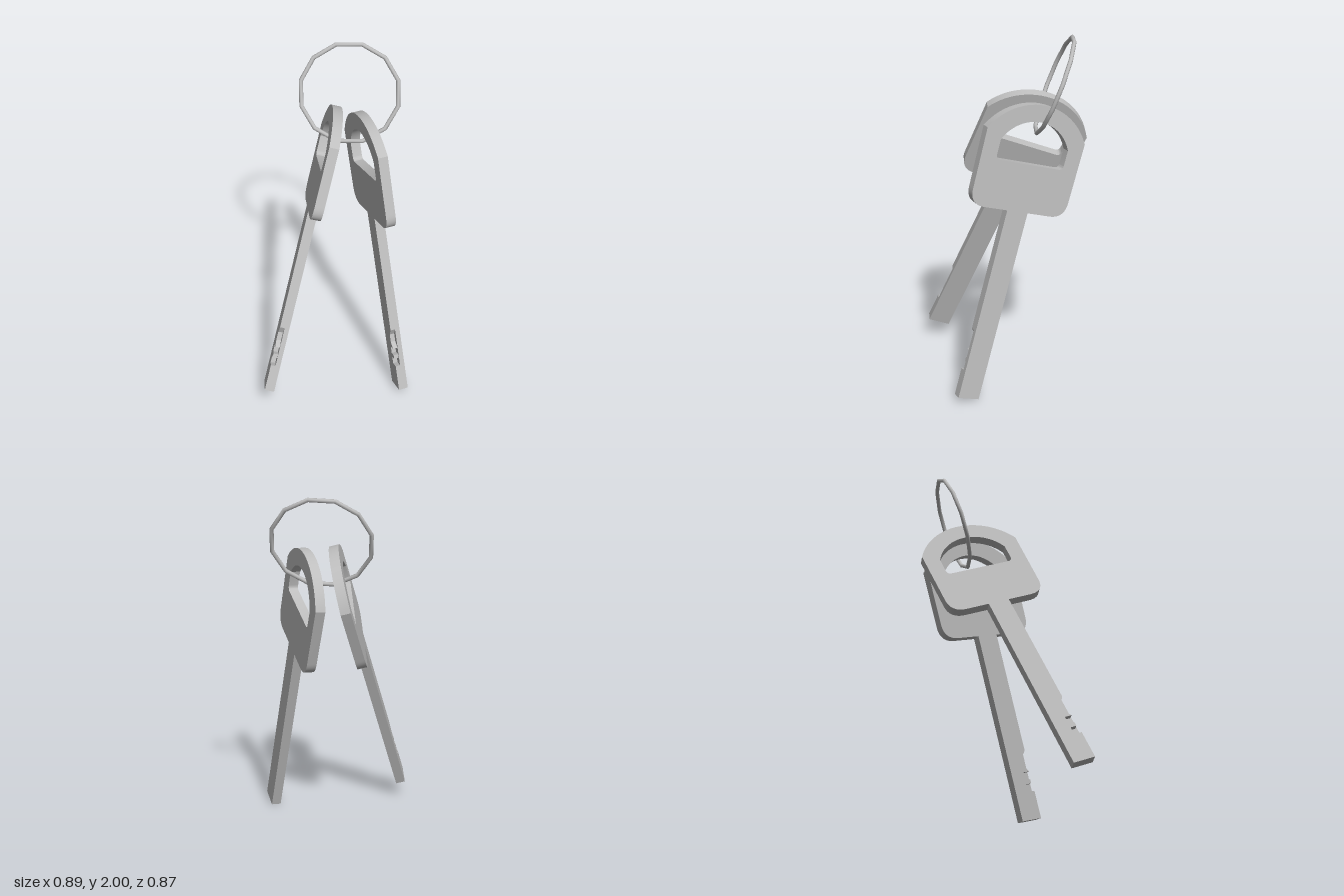
import * as THREE from 'three';
import { toCreasedNormals } from 'three/addons/utils/BufferGeometryUtils.js';

const T = 0.055;      // key thickness
const HALF = 0.063;   // half width of the blade
const LENGTH = 1.11;  // blade length

const steel = new THREE.MeshStandardMaterial({ color: 0xbebebe });
steel.name = 'steel';

function extrude(shape, depth, z, name) {
  const geo = new THREE.ExtrudeGeometry(shape, { depth, bevelEnabled: false, curveSegments: 14 });
  geo.translate(0, 0, z);
  const mesh = new THREE.Mesh(toCreasedNormals(geo, 0.5), steel);
  mesh.name = name;
  return mesh;
}

const polygon = (pts) => new THREE.Shape(pts.map(([x, y]) => new THREE.Vector2(x, y)));

// Arched bow with rounded lower corners and a D-shaped hole
function bowShape() {
  const s = new THREE.Shape();
  s.moveTo(-0.2, 0);
  s.lineTo(0.2, 0);
  s.quadraticCurveTo(0.295, 0, 0.295, 0.095);
  s.lineTo(0.3, 0.43);
  const a = Math.atan2(0.18, 0.3);
  s.absarc(0, 0.25, 0.35, a, Math.PI - a, false);
  s.lineTo(-0.295, 0.095);
  s.quadraticCurveTo(-0.295, 0, -0.2, 0);

  const h = new THREE.Path();
  h.moveTo(-0.18, 0.268);
  h.lineTo(0.18, 0.268);
  h.quadraticCurveTo(0.205, 0.268, 0.207, 0.295);
  h.lineTo(0.207, 0.38);
  const b = Math.atan2(0.106, 0.207);
  h.absarc(0, 0.274, 0.2326, b, Math.PI - b, false);
  h.lineTo(-0.207, 0.295);
  h.quadraticCurveTo(-0.205, 0.268, -0.18, 0.268);
  s.holes.push(h);
  return s;
}

// Key: local y runs up the blade, -x is the toothed edge, z is the thickness
function makeKey(name, tip, along, across) {
  const key = new THREE.Group();
  key.name = name;
  key.add(extrude(bowShape(), T, -T / 2, 'bow'));

  const plain = [[-HALF, -LENGTH], [HALF, -LENGTH], [HALF, 0.01], [-HALF, 0.01]];
  key.add(extrude(polygon(plain), T / 2, 0, 'bladePlainHalf'));

  // Teeth: [distance from tip, depth of cut]
  const cuts = [[0.40, 0], [0.36, 0.03], [0.31, 0.03], [0.275, 0.005], [0.275, 0.045],
    [0.23, 0.045], [0.23, 0.01], [0.205, 0.01], [0.205, 0.045], [0.16, 0.045], [0.16, 0]];
  const toothed = [...plain, ...cuts.map(([t, d]) => [-HALF + d, t - LENGTH])];
  key.add(extrude(polygon(toothed), T / 2, -T / 2, 'bladeToothedHalf'));

  const y = new THREE.Vector3(...along).normalize();
  const z = y.clone().cross(new THREE.Vector3(...across)).normalize();
  const x = y.clone().cross(z);
  key.quaternion.setFromRotationMatrix(new THREE.Matrix4().makeBasis(x, y, z));
  key.position.set(...tip).addScaledVector(y, LENGTH);
  return key;
}

export function createModel() {
  const model = new THREE.Group();
  model.name = 'keysOnRing';

  model.add(makeKey('rightKey', [-0.414, 0.122, 0.32], [0.303, 0.904, -0.305], [-0.124, 0.354, 0.927]));
  model.add(makeKey('leftKey', [0.371, 0.025, 0.37], [-0.088, 0.955, -0.288], [0.083, 0.294, 0.95]));

  // Twelve-sided wire ring, tilted back
  const ring = new THREE.Mesh(new THREE.TorusGeometry(0.276, 0.012, 8, 12), steel);
  ring.name = 'ring';
  const u = new THREE.Vector3(-0.05, 0.24, -0.115).normalize();
  const n = u.clone().cross(new THREE.Vector3(0.265, 0.07, 0.055)).normalize();
  const v = n.clone().cross(u);
  ring.quaternion.setFromRotationMatrix(new THREE.Matrix4().makeBasis(u, v, n));
  ring.position.set(0.173, 1.743, -0.203);
  model.add(ring);
  return model;
}
